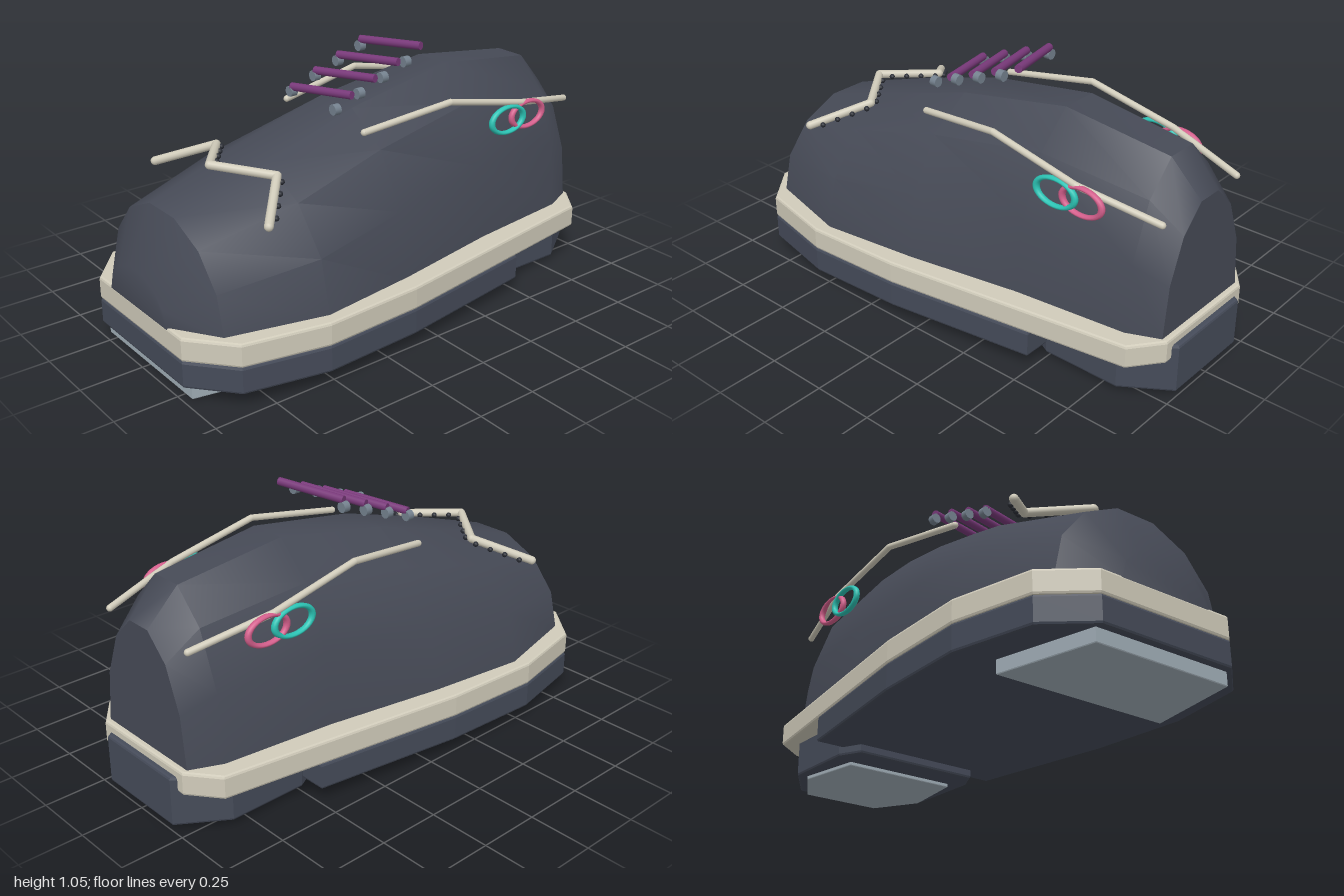
import * as THREE from 'three';
import { toCreasedNormals } from 'three/addons/utils/BufferGeometryUtils.js';

const mat = (name, color) => {
  const m = new THREE.MeshStandardMaterial({ color });
  m.name = name;
  return m;
};

export function createModel() {
  const leather = mat('slate leather', 0x464a56);
  const rubber = mat('slate rubber', 0x454b59);
  const cream = mat('cream', 0xd0cbba);
  const purple = mat('purple lace', 0x79397a);
  const teal = mat('teal', 0x2cc4b5);
  const pink = mat('pink', 0xd45f8c);
  const steel = mat('steel', 0x75828f);
  const pale = mat('pale grey pad', 0xa0adb6);
  const dark = mat('dark perforation', 0x2b2e36);

  const shoe = new THREE.Group();
  shoe.name = 'shoe';
  const add = (name, geometry, material, parent = shoe) => {
    const m = new THREE.Mesh(geometry, material);
    m.name = name;
    parent.add(m);
    return m;
  };
  const group = (name) => {
    const g = new THREE.Group();
    g.name = name;
    shoe.add(g);
    return g;
  };
  const V = (p) => new THREE.Vector3(...p);

  // Flat slab from one half of its outline, given as [x, z] and mirrored in x
  const slab = (name, half, y0, y1, material, b = 0.01) => {
    const all = [...half, ...half.map(([x, z]) => [-x, z]).reverse()];
    const shape = new THREE.Shape(all.map(([x, z]) => new THREE.Vector2(x, -z)));
    const geo = new THREE.ExtrudeGeometry(shape, {
      depth: y1 - y0 - 2 * b, bevelEnabled: true, bevelThickness: b,
      bevelSize: b, bevelOffset: -b, bevelSegments: 2,
    });
    geo.rotateX(-Math.PI / 2).translate(0, y0 + b, 0);
    return add(name, geo, material);
  };

  // Round bar between two points
  const bar = (name, a, b, r, material, parent) => {
    const p = V(a), q = V(b), d = q.clone().sub(p);
    const m = add(name, new THREE.CylinderGeometry(r, r, d.length(), 12), material, parent);
    m.position.copy(p).add(q).multiplyScalar(0.5);
    m.quaternion.setFromUnitVectors(new THREE.Vector3(0, 1, 0), d.normalize());
  };
  // Angular piping: bars with rounded joints
  const piping = (name, pts, r, parent) => {
    pts.forEach((p, i) => {
      if (i) bar(name, pts[i - 1], p, r, cream, parent);
      add(name + 'Joint', new THREE.SphereGeometry(r, 12, 8), cream, parent).position.copy(V(p));
    });
  };

  // Upper: half-ellipse sections [z, half width, top] lofted toe to heel
  const sections = [
    [1.0, 0.2, 0.4], [0.88, 0.385, 0.6], [0.5, 0.48, 0.72], [0.1, 0.43, 0.84],
    [-0.38, 0.345, 0.92], [-0.83, 0.295, 0.865], [-0.955, 0.24, 0.73],
  ];
  const N = 7, base = 0.25, pos = [], idx = [];
  for (const [z, w, top] of sections) {
    const h = (top - base) / Math.sin(Math.PI * 3 / N);
    for (let j = 0; j <= N; j++) {
      const a = Math.PI * j / N;
      pos.push(w * Math.cos(a), base + h * Math.sin(a), z);
    }
  }
  const row = N + 1, last = (sections.length - 1) * row;
  for (let i = 0; i < sections.length - 1; i++) {
    for (let j = 0; j < N; j++) {
      const a = i * row + j, b = a + 1, d = a + row, c = d + 1;
      idx.push(a, d, b, b, d, c);
    }
  }
  for (let j = 1; j < N; j++) {
    idx.push(0, j, j + 1);
    idx.push(last, last + j + 1, last + j);
  }
  const upper = new THREE.BufferGeometry();
  upper.setAttribute('position', new THREE.Float32BufferAttribute(pos, 3));
  upper.setIndex(idx);
  add('upper', toCreasedNormals(upper, 0.6), leather);

  // Sole layers
  const foreSole = [[0.295, 1.0], [0.46, 0.86], [0.53, 0.53], [0.51, 0.12]];
  slab('midsole', [...foreSole, [0.36, -0.885], [0.24, -0.978]], 0.165, 0.258, cream);
  slab('outsole', [...foreSole, [0.42, -0.495]], 0.06, 0.167, rubber);
  slab('heelBlock', [[0.27, -0.41], [0.315, -0.5], [0.315, -0.82], [0.195, -1.0]], 0.025, 0.225, rubber);
  slab('toePad', [[0.3, 0.97], [0.38, 0.575]], 0.005, 0.065, pale, 0.005);
  slab('heelPad', [[0.24, -0.53], [0.28, -0.8], [0.17, -0.985]], 0.01, 0.035, pale, 0.004);

  // Zigzag toe trim with perforations behind it
  const trim = group('toeTrim');
  const zig = [[-0.385, 0.62, 0.685], [-0.2, 0.705, 0.52], [0, 0.722, 0.675],
    [0.2, 0.705, 0.52], [0.385, 0.62, 0.685]];
  piping('toePiping', zig, 0.017, trim);
  for (let i = 0; i < 4; i++) {
    for (const t of [0.14, 0.38, 0.62, 0.86]) {
      const p = V(zig[i]).lerp(V(zig[i + 1]), t);
      const dot = add('perforation', new THREE.SphereGeometry(0.011, 8, 6), dark, trim);
      dot.position.set(p.x, p.y - 0.004, p.z - 0.026);
    }
  }

  // Side piping and linked rings, mirrored
  for (const s of [1, -1]) {
    const side = group(s > 0 ? 'leftSide' : 'rightSide');
    piping('sidePiping', [[0.245, 0.798, 0.16], [0.295, 0.848, -0.22],
      [0.3, 0.768, -0.6], [0.235, 0.702, -0.92]].map(([x, y, z]) => [s * x, y, z]), 0.013, side);
    for (const [name, z, x, m] of [['tealRing', -0.52, 0.308, teal], ['pinkRing', -0.632, 0.303, pink]]) {
      const geo = new THREE.TorusGeometry(0.086, 0.013, 10, 32);
      geo.scale(1, 0.62, 1).rotateY(Math.PI / 2);
      add(name, geo, m, side).position.set(s * x, 0.714, z);
    }
  }

  // Slanted laces with eyelets at both ends
  const laces = group('laces');
  for (let i = 0; i < 4; i++) {
    const y = 0.887 + 0.043 * i, z = 0.21 - 0.112 * i;
    bar('lace', [-0.137, y, z], [0.137, y + 0.02, z - 0.078], 0.016, purple, laces);
    for (const x of [-0.138, 0.138]) {
      const geo = new THREE.CylinderGeometry(0.021, 0.021, 0.028, 14).rotateX(Math.PI / 2);
      add('eyelet', geo, steel, laces).position.set(x, 0.869 + 0.04 * i, z);
    }
  }
  return shoe;
}
